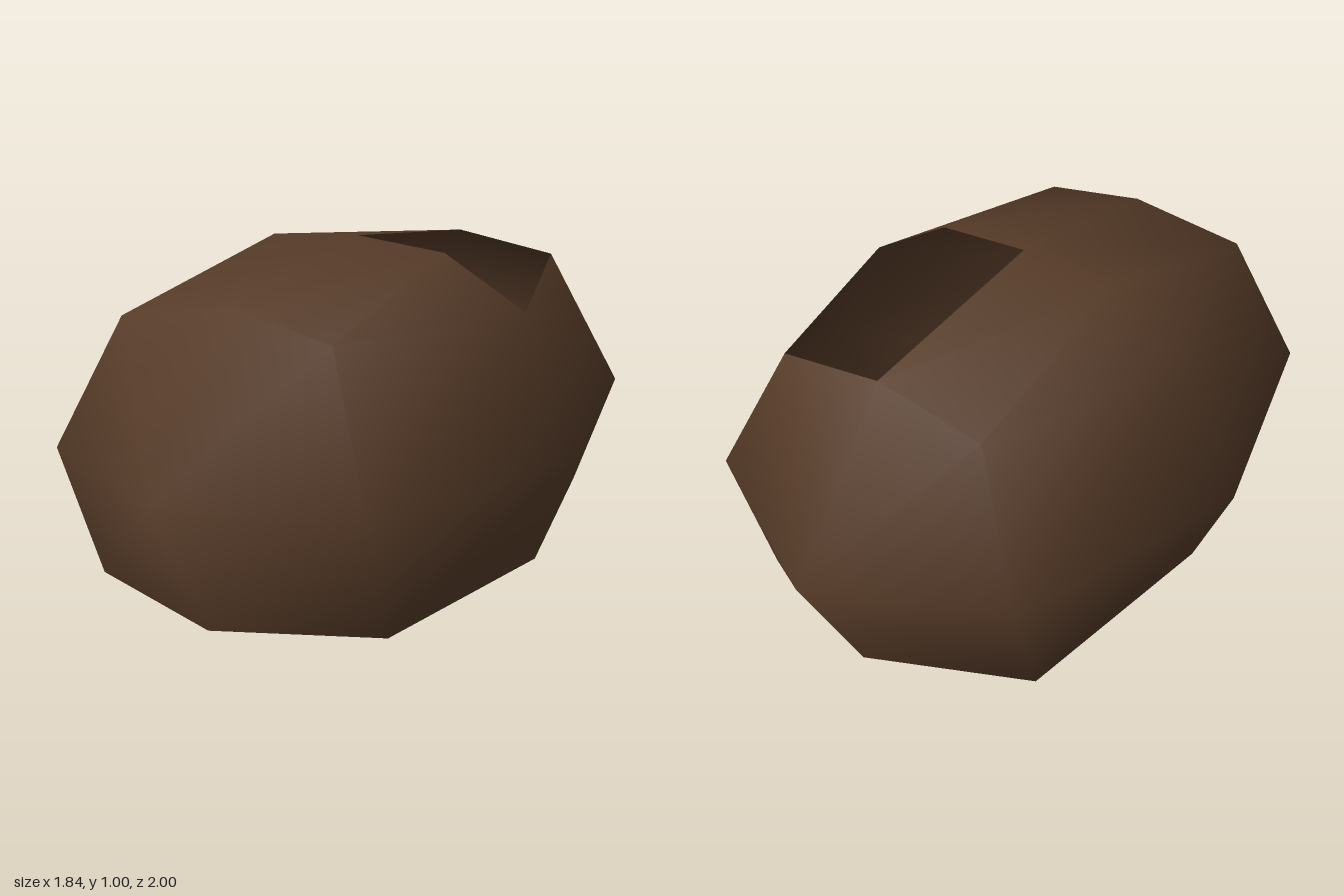
import * as THREE from 'three';

const brown = new THREE.MeshStandardMaterial({ color: 0x563b28, side: THREE.DoubleSide });
brown.name = 'dark brown shell';
const tan = new THREE.MeshStandardMaterial({ color: 0xcd9d5a });
tan.name = 'tan floor';

// Eight-sided cross-sections, counter-clockwise from the back left, [x, y, z]
const base = [[0.41, -0.83], [-0.13, -0.87], [-0.6, -0.25], [-0.78, 0.46],
  [-0.39, 0.83], [0.13, 0.85], [0.59, 0.29], [0.79, -0.43]].map(([x, z]) => [x, 0, z]);
const belly = [[0.55, -0.96], [-0.08, -1], [-0.7, -0.42], [-0.92, 0.41],
  [-0.54, 0.89], [0.08, 1], [0.7, 0.4], [0.92, -0.41]].map(([x, z]) => [x, 0.4, z]);
const shoulder = [[0.35, 0.905, -0.62], [0.03, 0.845, -0.8], [-0.53, 0.82, -0.28], [-0.69, 0.83, 0.42],
  [-0.34, 0.9, 0.58], [-0.03, 0.84, 0.76], [0.53, 0.82, 0.28], [0.67, 0.855, -0.44]];
const crown = [[0, 1, 0], [0.28, 0.978, 0.16], [-0.29, 0.972, -0.16]];

function buildShell() {
  const points = [...base, ...belly, ...shoulder, ...crown];
  const spread = (a, b) => Math.hypot(points[a][0] + points[b][0], points[a][2] + points[b][2]);
  const faces = [];

  // Side bands; each quad is split along its more outward diagonal
  for (const start of [0, 8]) {
    for (let i = 0; i < 8; i++) {
      const j = (i + 1) % 8;
      const a = start + i, b = start + j, c = start + 8 + j, d = start + 8 + i;
      if (spread(a, c) > spread(b, d)) faces.push(a, b, c, a, c, d);
      else faces.push(a, b, d, b, c, d);
    }
  }

  // Roof around the peak and its two side points
  const [E, V2, V3, V4, V5, V6, C, D] = [16, 17, 18, 19, 20, 21, 22, 23];
  const [A, B, F] = [24, 25, 26];
  faces.push(A, E, F, A, F, V4, A, V4, V5, A, V5, B, B, V6, C, B, V5, V6,
    F, V3, V4, F, V2, V3, F, E, V2);
  const opening = [A, B, D, A, D, E, B, C, D];

  // Normals are smoothed over the closed roof, then the opening is left out
  const geometry = new THREE.BufferGeometry();
  geometry.setAttribute('position', new THREE.Float32BufferAttribute(points.flat(), 3));
  geometry.setIndex([...faces, ...opening]);
  geometry.computeVertexNormals();
  geometry.setIndex(faces);
  return geometry;
}

export function createModel() {
  const model = new THREE.Group();
  model.name = 'hollow shell';

  const shell = new THREE.Mesh(buildShell(), brown);
  shell.name = 'shell';
  model.add(shell);

  // Flat underside
  const outline = new THREE.Shape(base.map(([x, , z]) => new THREE.Vector2(x, z)));
  const underside = new THREE.Mesh(new THREE.ShapeGeometry(outline).rotateX(Math.PI / 2), brown);
  underside.name = 'underside';
  underside.position.y = 0.004;
  model.add(underside);

  // Oval floor, seen through the opening and from below
  const floor = new THREE.Mesh(new THREE.CylinderGeometry(1, 1, 0.008, 48), tan);
  floor.name = 'floor';
  floor.scale.set(0.82, 1, 0.575);
  floor.rotation.y = 1.04;
  floor.position.y = 0.004;
  model.add(floor);

  return model;
}
